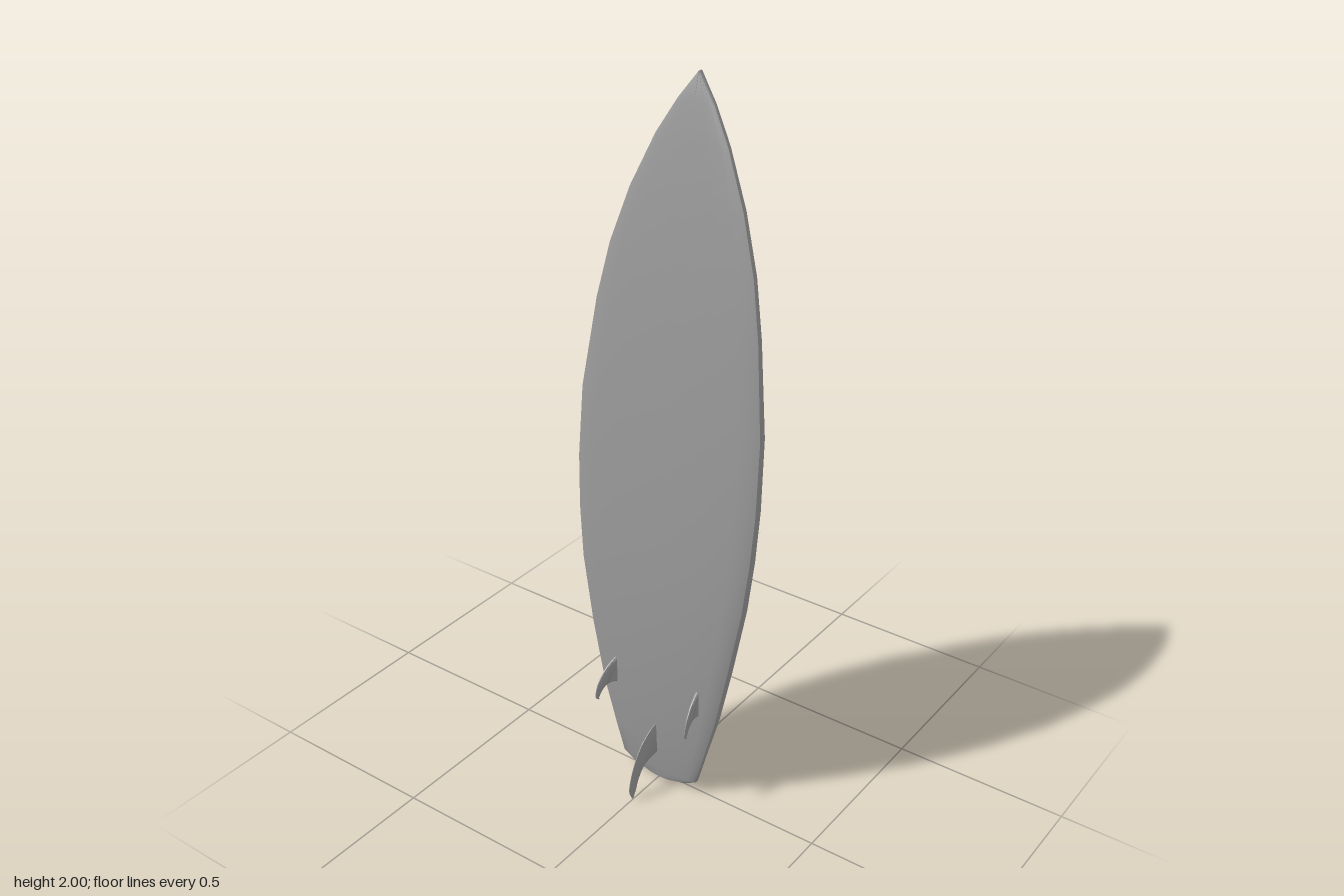
import * as THREE from 'three';
import { toCreasedNormals } from 'three/addons/utils/BufferGeometryUtils.js';

const material = new THREE.MeshStandardMaterial({ color: 0x999999 });

// Stations along the board: height, half width, bottom x, deck x
const stations = [
  [0.005, 0.035, -0.018, 0.002], [0.018, 0.085, -0.02, 0.003], [0.04, 0.125, -0.023, 0.005],
  [0.14, 0.152, -0.032, 0.011], [0.27, 0.188, -0.038, 0.017], [0.45, 0.225, -0.04, 0.024],
  [0.65, 0.26, -0.034, 0.032], [0.8, 0.275, -0.024, 0.039], [0.95, 0.282, -0.012, 0.047],
  [1.15, 0.278, 0.007, 0.06], [1.4, 0.246, 0.038, 0.08], [1.55, 0.216, 0.059, 0.096],
  [1.7, 0.168, 0.083, 0.114], [1.84, 0.106, 0.108, 0.132], [1.93, 0.053, 0.126, 0.146],
  [2, 0.001, 0.142, 0.156],
];

// Half section from bottom centre round the rail to deck centre: [width share, thickness share]
const half = [[0, 0], [0.5, 0.08], [0.8, 0.14], [0.93, 0.21], [1, 0.33], [1, 0.72],
  [0.98, 0.89], [0.93, 0.97], [0.6, 1], [0, 1]];
const section = [...half, ...half.slice(1, -1).reverse().map(([w, t]) => [-w, t])];

function deckAt(y) {
  const i = Math.max(1, stations.findIndex((s) => s[0] >= y));
  const [a, b] = [stations[i - 1], stations[i]];
  return a[3] + (b[3] - a[3]) * (y - a[0]) / (b[0] - a[0]);
}

function boardGeometry() {
  const n = section.length, pos = [], idx = [];
  for (const [y, w, bottom, deck] of stations)
    for (const [sw, st] of section) pos.push(bottom + (deck - bottom) * st, y, w * sw);
  for (let j = 0; j < stations.length - 1; j++)
    for (let i = 0; i < n; i++) {
      const a = j * n + i, b = j * n + (i + 1) % n;
      idx.push(a, b, b + n, a, b + n, a + n);
    }
  // Tail and nose caps
  const last = (stations.length - 1) * n;
  for (let i = 1; i < n - 1; i++) {
    idx.push(0, i + 1, i);
    idx.push(last, last + i, last + i + 1);
  }
  const g = new THREE.BufferGeometry();
  g.setAttribute('position', new THREE.Float32BufferAttribute(pos, 3));
  g.setIndex(idx);
  return toCreasedNormals(g, 0.85);
}

// Traction pad: a flat outline laid along the deck
function padGeometry() {
  const right = [[0, 0.472], [0.09, 0.468], [0.178, 0.455], [0.174, 0.36], [0.165, 0.28],
    [0.148, 0.2], [0.132, 0.15], [0.105, 0.12], [0.068, 0.105], [0.045, 0.115], [0, 0.124]];
  const outline = [...right, ...right.slice(1, -1).reverse().map(([z, y]) => [-z, y])];
  const shape = new THREE.Shape(outline.map((p) => new THREE.Vector2(...p)));
  const g = new THREE.ExtrudeGeometry(shape, { depth: 0.012, bevelEnabled: true,
    bevelThickness: 0.003, bevelSize: 0.003, bevelOffset: -0.003, bevelSegments: 1 });
  g.rotateY(Math.PI / 2);
  const p = g.attributes.position;
  for (let i = 0; i < p.count; i++) p.setX(i, p.getX(i) - 0.008 + deckAt(p.getY(i)));
  return toCreasedNormals(g, 0.5);
}

// Fin: swept blade with chamfered edges, thinned towards its tip and splayed outward
function finGeometry(lead, trail, thickness, z0, splay) {
  const vec = (list) => list.map((p) => new THREE.Vector2(...p));
  const shape = new THREE.Shape();
  shape.moveTo(...lead[0]);
  shape.splineThru(vec(lead.slice(1)));
  shape.splineThru(vec(trail));
  shape.closePath();
  const g = new THREE.ExtrudeGeometry(shape, { depth: 0.4, bevelEnabled: true, bevelThickness: 0.3,
    bevelSize: 0.004, bevelOffset: -0.004, bevelSegments: 1, curveSegments: 12 });
  const p = g.attributes.position, tip = lead[lead.length - 2][0];
  for (let i = 0; i < p.count; i++) {
    const out = -0.035 - p.getX(i);
    const t = thickness * (1 - 0.5 * Math.max(0, out / (-0.035 - tip)));
    p.setZ(i, (p.getZ(i) - 0.2) * t + z0 + out * splay);
  }
  return toCreasedNormals(g, 0.6);
}

export function createModel() {
  const group = new THREE.Group();
  const add = (name, geometry) => {
    const mesh = new THREE.Mesh(geometry, material);
    mesh.name = name;
    group.add(mesh);
  };

  add('board', boardGeometry());
  add('tractionPad', padGeometry());

  // Centre fin near the tail
  add('centreFin', finGeometry(
    [[-0.02, 0.205], [-0.06, 0.193], [-0.105, 0.16], [-0.14, 0.105], [-0.157, 0.045], [-0.142, 0.008]],
    [[-0.128, 0.028], [-0.113, 0.062], [-0.083, 0.093], [-0.02, 0.103]], 0.006, 0, 0));

  // Pair of side fins
  for (const s of [1, -1])
    add(s > 0 ? 'leftFin' : 'rightFin', finGeometry(
      [[-0.015, 0.378], [-0.05, 0.362], [-0.078, 0.34], [-0.1, 0.308], [-0.108, 0.275], [-0.1, 0.26]],
      [[-0.088, 0.28], [-0.07, 0.294], [-0.045, 0.294], [-0.015, 0.28]], 0.011, s * 0.139, s * 0.17));

  return group;
}
